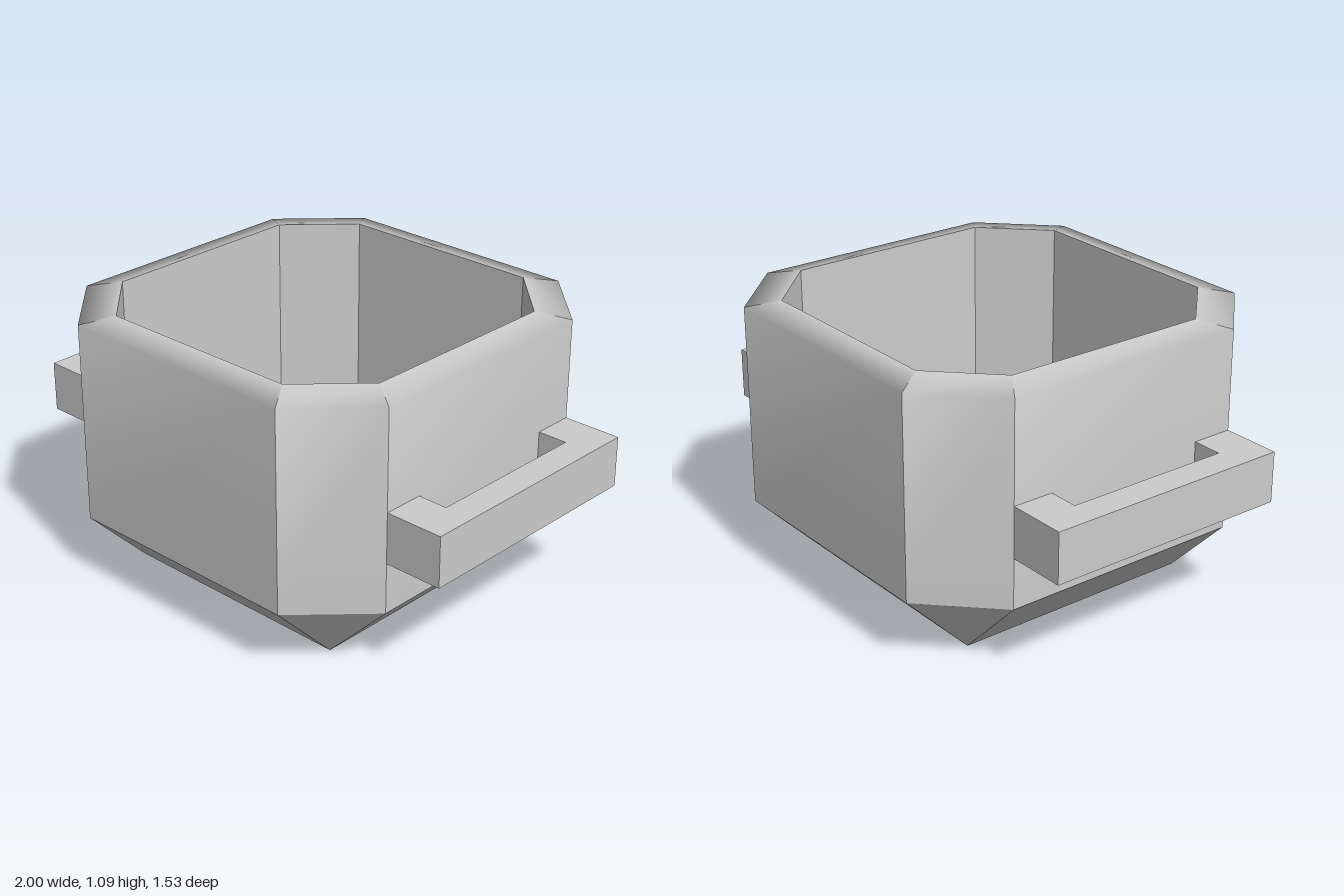
import * as THREE from 'three';

const material = new THREE.MeshStandardMaterial({ color: 0xcccccc });

// Strip between two edge lines; normals blend only inside the strip
function strip(name, left, right) {
  const positions = [], index = [];
  left.forEach((p, i) => {
    positions.push(...p, ...right[i]);
    if (i > 0) {
      const a = 2 * (i - 1);
      index.push(a, a + 1, a + 3, a, a + 3, a + 2);
    }
  });
  const geometry = new THREE.BufferGeometry();
  geometry.setAttribute('position', new THREE.Float32BufferAttribute(positions, 3));
  geometry.setIndex(index);
  geometry.computeVertexNormals();
  const mesh = new THREE.Mesh(geometry, material);
  mesh.name = name;
  return mesh;
}

// One quarter of the pot: a broad side and the chamfered corner beside it
function potQuarter() {
  const quarter = new THREE.Group();
  // Edge profile [half width, half depth, y] from base to rim to inner floor
  const profile = [
    [0.5, 0.5, 0], [0.5, 0.765, 0.27], [0.5, 0.765, 1.065],
    [0.42, 0.65, 1.09], [0.42, 0.65, 0.27],
  ];
  const sideLeft = profile.map(([w, d, y]) => [-w, y, d]);
  const sideRight = profile.map(([w, d, y]) => [w, y, d]);
  const cornerRight = profile.map(([w, d, y]) => [d, y, w]);
  for (const [part, l, r] of [['side', sideLeft, sideRight], ['corner', sideRight, cornerRight]]) {
    quarter.add(
      strip(part + 'BaseBevel', l.slice(0, 2), r.slice(0, 2)),
      strip(part + 'WallAndRim', l.slice(1, 4), r.slice(1, 4)),
      strip(part + 'InnerWall', l.slice(3, 5), r.slice(3, 5)),
    );
  }
  return quarter;
}

function polygon(points) {
  return new THREE.Shape(points.map(([x, y]) => new THREE.Vector2(x, y)));
}

export function createModel() {
  const model = new THREE.Group();
  model.name = 'pot';

  // Walls, bevels and rim
  for (let i = 0; i < 4; i++) {
    const quarter = potQuarter();
    quarter.name = 'potQuarter' + (i + 1);
    quarter.rotation.y = i * Math.PI / 2;
    model.add(quarter);
  }

  // Inner floor
  const a = 0.65, b = 0.42;
  const floor = new THREE.Mesh(new THREE.ShapeGeometry(polygon([
    [a, -b], [a, b], [b, a], [-b, a], [-a, b], [-a, -b], [-b, -a], [b, -a],
  ])), material);
  floor.name = 'innerFloor';
  floor.rotation.x = -Math.PI / 2;
  floor.position.y = 0.27;
  model.add(floor);

  // Underside
  const base = new THREE.Mesh(new THREE.PlaneGeometry(1, 1), material);
  base.name = 'base';
  base.rotation.x = Math.PI / 2;
  model.add(base);

  // Square loop handles
  const handleGeometry = new THREE.ExtrudeGeometry(polygon([
    [0.765, -0.5], [1, -0.5], [1, 0.5], [0.765, 0.5],
    [0.765, 0.335], [0.885, 0.335], [0.885, -0.335], [0.765, -0.335],
  ]), { depth: 0.2, bevelEnabled: false });
  handleGeometry.rotateX(-Math.PI / 2);
  handleGeometry.translate(0, 0.47, 0);
  ['leftHandle', 'rightHandle'].forEach((name, i) => {
    const handle = new THREE.Mesh(handleGeometry, material);
    handle.name = name;
    handle.rotation.y = i * Math.PI;
    model.add(handle);
  });

  return model;
}
